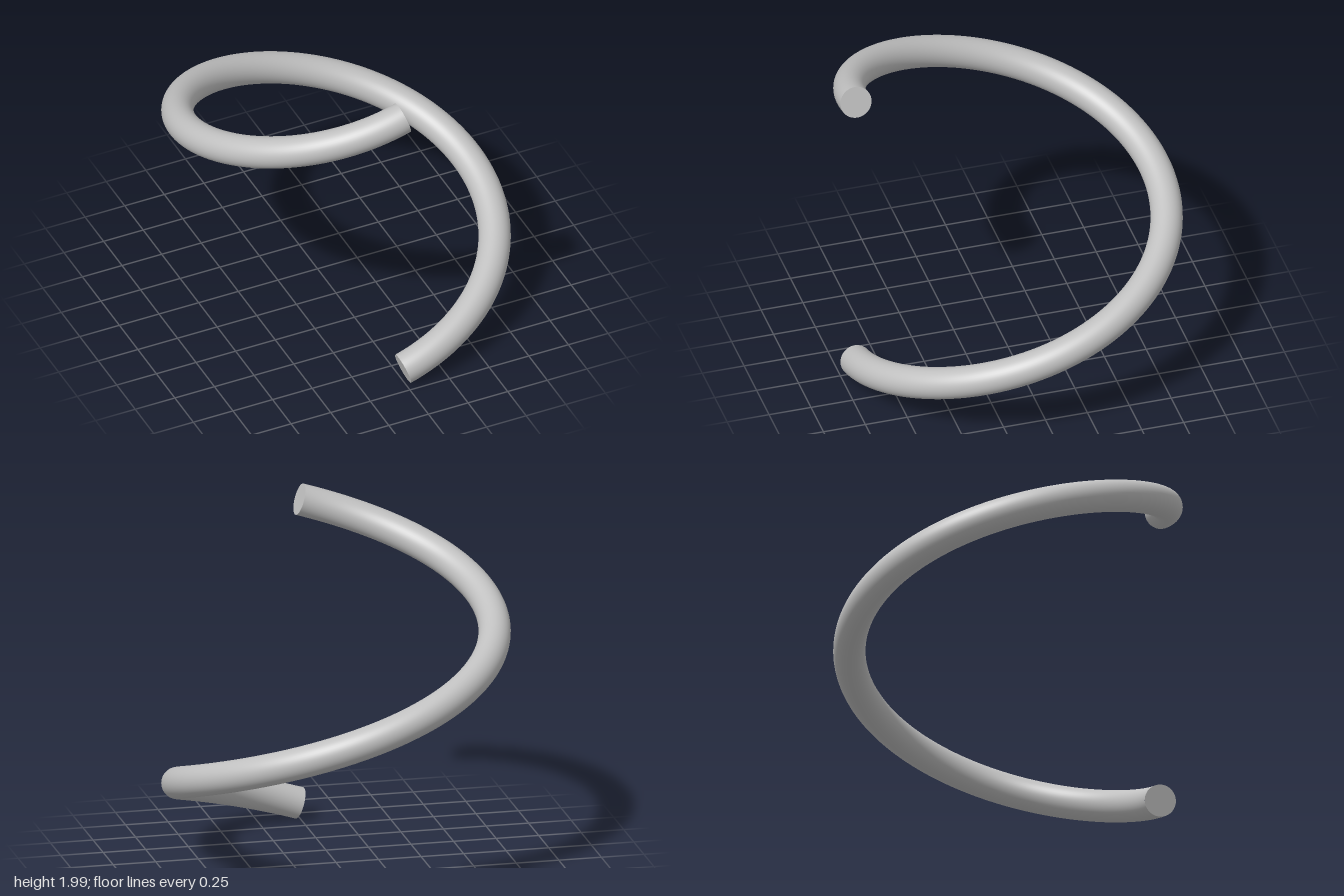
import * as THREE from 'three';

const COIL_RADIUS = 0.907, TUBE_RADIUS = 0.0925, START_Y = 0.09, RISE = 1.815;

// One full turn, starting and ending at the front
class Helix extends THREE.Curve {
  getPoint(t, target = new THREE.Vector3()) {
    const a = t * Math.PI * 2;
    return target.set(Math.sin(a) * COIL_RADIUS, START_Y + RISE * t, Math.cos(a) * COIL_RADIUS);
  }
  getTangent(t, target = new THREE.Vector3()) {
    const a = t * Math.PI * 2, k = Math.PI * 2 * COIL_RADIUS;
    return target.set(Math.cos(a) * k, RISE, -Math.sin(a) * k).normalize();
  }
}

export function createModel() {
  const group = new THREE.Group();
  group.name = 'springCoil';
  const grey = new THREE.MeshStandardMaterial({ color: 0xc0c0c0 });
  grey.name = 'grey';
  const helix = new Helix();

  // Coiled rod
  const coil = new THREE.Mesh(new THREE.TubeGeometry(helix, 192, TUBE_RADIUS, 48, false), grey);
  coil.name = 'coil';
  group.add(coil);

  // Flat end caps, facing outward along the rod
  for (const [name, t, dir] of [['lowerEndCap', 0, -1], ['upperEndCap', 1, 1]]) {
    const cap = new THREE.Mesh(new THREE.CircleGeometry(TUBE_RADIUS, 48), grey);
    cap.name = name;
    cap.position.copy(helix.getPoint(t));
    cap.quaternion.setFromUnitVectors(new THREE.Vector3(0, 0, 1), helix.getTangent(t).multiplyScalar(dir));
    group.add(cap);
  }
  return group;
}
